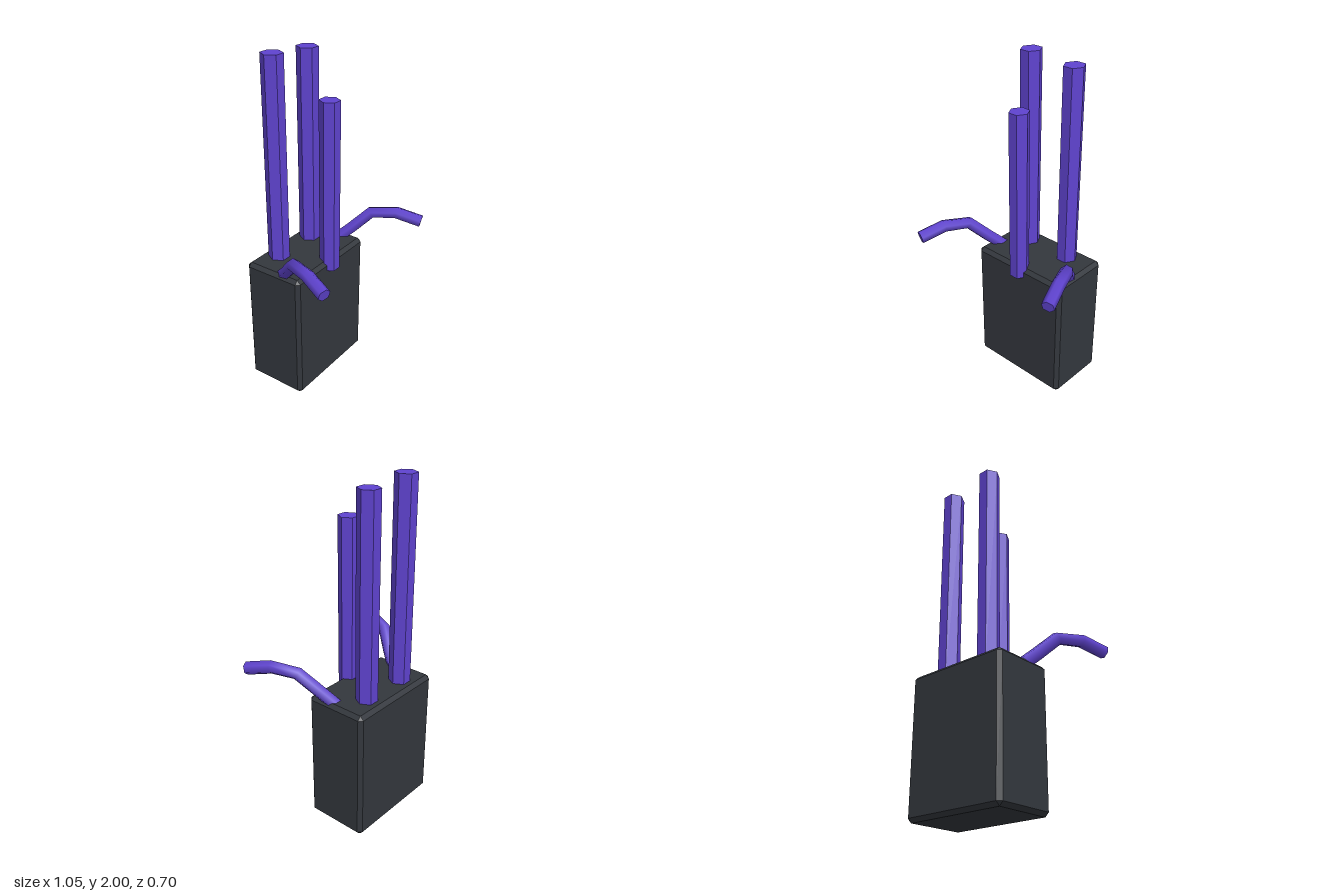
import * as THREE from 'three';
import { ConvexGeometry } from 'three/addons/geometries/ConvexGeometry.js';

const dark = new THREE.MeshStandardMaterial({ color: 0x33373d });
const purple = new THREE.MeshStandardMaterial({ color: 0x5f43cf });
const purpleFlat = new THREE.MeshStandardMaterial({ color: 0x5f43cf, flatShading: true });
const purpleCap = new THREE.MeshStandardMaterial({ color: 0x5f43cf, side: THREE.DoubleSide });

function named(geometry, material, name) {
  const mesh = new THREE.Mesh(geometry, material);
  mesh.name = name;
  return mesh;
}

// Box with chamfered edges and corners
function chamferedBox(w, h, d, b) {
  const points = [];
  const [x, y, z] = [w / 2, h / 2, d / 2];
  for (const sx of [-1, 1]) for (const sy of [-1, 1]) for (const sz of [-1, 1]) {
    points.push(
      new THREE.Vector3(sx * x, sy * (y - b), sz * (z - b)),
      new THREE.Vector3(sx * (x - b), sy * y, sz * (z - b)),
      new THREE.Vector3(sx * (x - b), sy * (y - b), sz * z));
  }
  return new ConvexGeometry(points);
}

// Upright hexagonal rod with corners pointing along x
function rod(name, x, z, radius, bottom, top) {
  const geometry = new THREE.CylinderGeometry(radius, radius, top - bottom, 6);
  geometry.rotateY(Math.PI / 6);
  geometry.scale(1, 1, 1.05);
  geometry.translate(x, (top + bottom) / 2, z);
  return named(geometry, purpleFlat, name);
}

// Bent arm rising from the top and drooping forward, with a closed tip
function arm(name, side) {
  const path = new THREE.CatmullRomCurve3([
    [0.25, 0.75, -0.15], [0.325, 0.87, -0.03], [0.39, 0.965, 0.063],
    [0.44, 0.972, 0.185], [0.493, 0.935, 0.333],
  ].map(([x, y, z]) => new THREE.Vector3(side * x, y, z)));
  const sides = 6;
  const tube = new THREE.TubeGeometry(path, 4, 0.038, sides);

  // The tip is a fan over the last ring of the tube
  const ring = tube.attributes.position;
  const tip = [];
  for (let i = 0; i < sides; i++) {
    const k = ring.count - sides - 1 + i;
    tip.push(new THREE.Vector3().fromBufferAttribute(ring, k));
  }
  const cap = new THREE.BufferGeometry().setFromPoints(tip);
  const index = [];
  for (let i = 1; i < sides - 1; i++) index.push(0, i, i + 1);
  cap.setIndex(index);
  cap.computeVertexNormals();

  const group = new THREE.Group();
  group.name = name;
  group.add(named(tube, purple, 'armTube'), named(cap, purpleCap, 'armTip'));
  return group;
}

export function createModel() {
  const model = new THREE.Group();
  model.name = 'boxWithRods';

  const body = named(chamferedBox(0.644, 0.8, 0.38, 0.022), dark, 'body');
  body.position.set(0, 0.4, -0.163);
  model.add(body);

  model.add(
    rod('rightRod', -0.149, -0.248, 0.061, 0.745, 2),
    rod('leftRod', 0.147, -0.247, 0.061, 0.745, 1.975),
    rod('frontRod', 0, 0.01, 0.057, 0.745, 1.76),
    arm('rightArm', -1),
    arm('leftArm', 1));
  return model;
}
